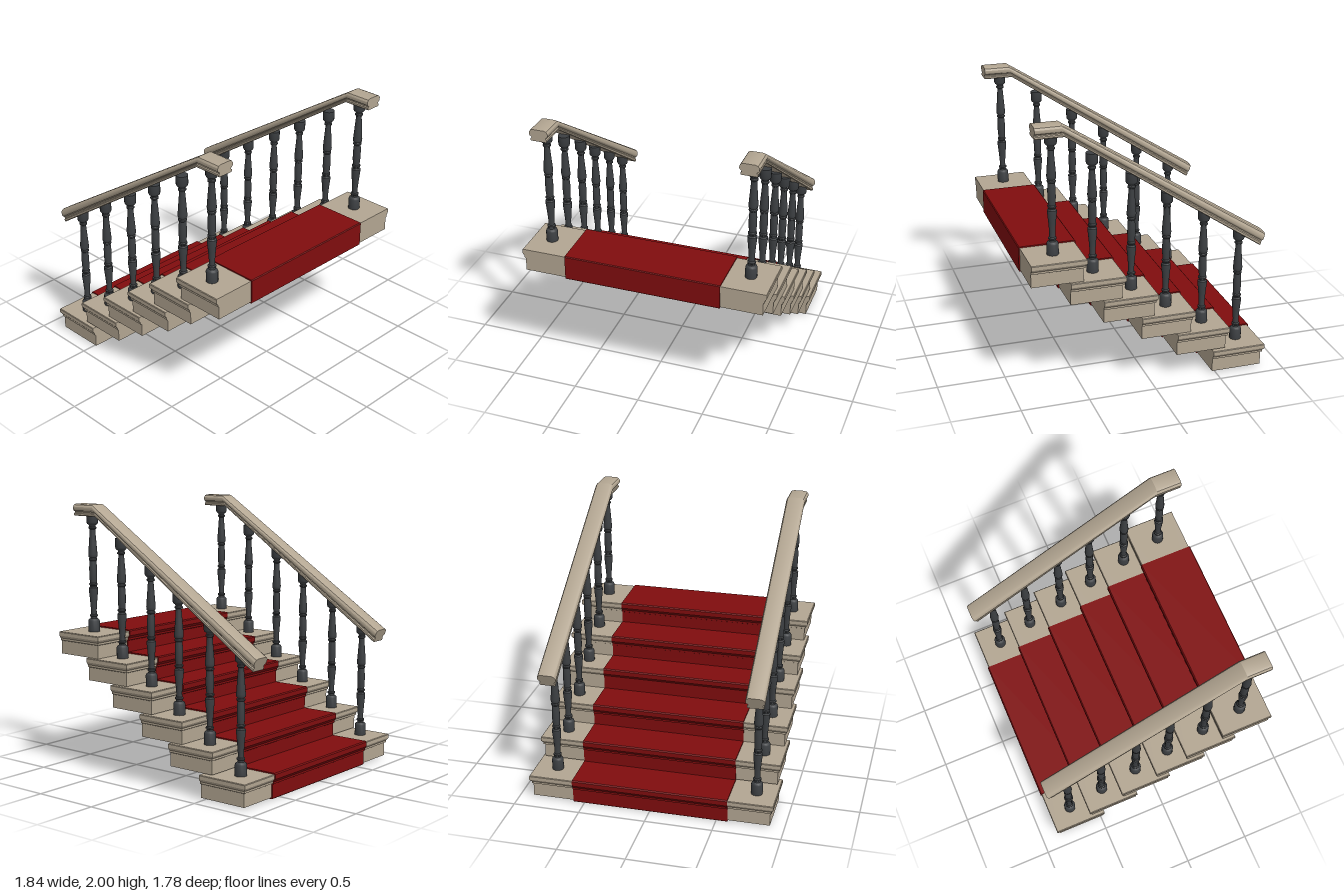
import * as THREE from 'three';
import { toCreasedNormals } from 'three/addons/utils/BufferGeometryUtils.js';

// Skin a list of equal-length rings; rings run counter-clockwise seen from the far end.
function loft(rings, crease) {
  const pos = [];
  const n = rings[0].length;
  const tri = (...pts) => pts.forEach((p) => pos.push(...p));
  const centre = (r) => [0, 1, 2].map((k) => r.reduce((s, p) => s + p[k], 0) / n);
  for (let i = 0; i < rings.length - 1; i++) {
    for (let j = 0; j < n; j++) {
      const k = (j + 1) % n;
      const a = rings[i][j], b = rings[i][k], c = rings[i + 1][k], d = rings[i + 1][j];
      tri(a, b, c);
      tri(a, c, d);
    }
  }
  const first = rings[0], last = rings[rings.length - 1];
  for (let j = 0; j < n; j++) {
    const k = (j + 1) % n;
    tri(centre(first), first[k], first[j]);
    tri(centre(last), last[j], last[k]);
  }
  const g = new THREE.BufferGeometry();
  g.setAttribute('position', new THREE.Float32BufferAttribute(pos, 3));
  g.computeVertexNormals();
  return crease ? toCreasedNormals(g, crease) : g;
}

export function createModel() {
  const model = new THREE.Group();
  model.name = 'staircase';

  const material = (name, color) => {
    const m = new THREE.MeshStandardMaterial({ color });
    m.name = name;
    return m;
  };
  const stone = material('stone', 0xb3a692);
  const iron = material('darkIron', 0x3c3f42);
  const red = material('redCarpet', 0x800d0e);

  const add = (name, geometry, mat, parent = model) => {
    const mesh = new THREE.Mesh(geometry, mat);
    mesh.name = name;
    parent.add(mesh);
    return mesh;
  };

  // Steps from lowest to highest: base height, back z, front z of the riser
  const steps = [
    [0.0, -0.465, -0.855],
    [0.18, -0.185, -0.572],
    [0.353, 0.085, -0.3],
    [0.527, 0.37, -0.018],
    [0.7, 0.61, 0.222],
    [0.87, 0.89, 0.505],
  ];

  // Moulding under the tread: outward offset and height
  const moulding = [
    [0, 0.011], [0, 0.11], [0.01, 0.115], [0.01, 0.13],
    [0.018, 0.14], [0.024, 0.15], [0.024, 0.176], [0.02, 0.181],
  ];

  const stepGeometry = (zb, zf) => loft(moulding.map(([o, y]) => {
    const w = 0.895 + o;
    return [[-w, y, zb - 0.009], [w, y, zb - 0.009], [w, y, zf - o], [-w, y, zf - o]];
  }));

  // Carpet wraps the whole step section, slightly outside the stone
  const carpetGeometry = (zb, zf) => {
    const d = 0.008, f = -zf;
    const shape = new THREE.Shape([
      [-zb, 0.006], [-zb + 0.006, 0], [f + d - 0.005, 0], [f + d, 0.005],
      [f + d, 0.107], [f + 0.01 + d, 0.112], [f + 0.01 + d, 0.127],
      [f + 0.024 + d, 0.147], [f + 0.024 + d, 0.182], [f + 0.024, 0.19],
      [-zb + 0.006, 0.19], [-zb, 0.184],
    ].map(([x, y]) => new THREE.Vector2(x, y)));
    const g = new THREE.ExtrudeGeometry(shape, { depth: 1.168, bevelEnabled: false });
    return g.rotateY(Math.PI / 2).translate(-0.584, 0, 0);
  };

  steps.forEach(([y, zb, zf], i) => {
    add(`step${i + 1}`, stepGeometry(zb, zf), stone).position.y = y;
    add(`carpet${i + 1}`, carpetGeometry(zb, zf), red).position.y = y;
  });

  // Turned baluster: radius and height
  const turned = [
    [0, 0], [0.043, 0], [0.043, 0.08], [0.038, 0.092], [0.025, 0.1],
    [0.023, 0.11], [0.03, 0.116], [0.03, 0.126], [0.022, 0.132], [0.021, 0.16],
    [0.027, 0.24], [0.034, 0.31], [0.034, 0.33], [0.025, 0.338], [0.025, 0.346],
    [0.031, 0.352], [0.031, 0.362], [0.025, 0.368], [0.029, 0.42], [0.029, 0.48],
    [0.025, 0.53], [0.031, 0.536], [0.031, 0.546], [0.025, 0.552], [0.033, 0.562],
    [0.034, 0.58], [0.028, 0.66], [0.021, 0.75], [0.021, 0.765], [0.029, 0.771],
    [0.029, 0.781], [0.023, 0.787], [0.025, 0.795], [0.038, 0.805], [0.043, 0.817],
    [0.043, 0.885], [0, 0.885],
  ].map(([r, y]) => new THREE.Vector2(r, y));
  const balusterGeometry = toCreasedNormals(new THREE.LatheGeometry(turned, 16), 0.7);
  const balusterZ = [-0.711, -0.435, -0.152, 0.111, 0.397, 0.685];

  // Handrail half section: half width and fraction of the height
  const half = [
    [0.056, 0], [0.06, 0.06], [0.06, 0.2], [0.053, 0.27], [0.053, 0.36],
    [0.066, 0.46], [0.07, 0.58], [0.069, 0.76], [0.06, 0.92], [0.042, 1],
  ];
  const section = [...half, ...half.map(([x, t]) => [-x, t]).reverse()];

  // Handrail stations, foot to top: bottom z, y and top z, y
  const stations = [
    [-0.855, 0.937, -0.892, 1.03],
    [0.6, 1.913, 0.625, 2.0],
    [0.812, 1.913, 0.812, 2.0],
  ];
  const railGeometry = loft(stations.map(([z0, y0, z1, y1]) =>
    section.map(([x, t]) => [x, y0 + (y1 - y0) * t, z0 + (z1 - z0) * t])), 0.5);

  for (const [name, x] of [['leftBalustrade', 0.748], ['rightBalustrade', -0.768]]) {
    const side = new THREE.Group();
    side.name = name;
    side.position.x = x;
    model.add(side);
    add('handrail', railGeometry, stone, side);
    balusterZ.forEach((z, i) => {
      add(`baluster${i + 1}`, balusterGeometry, iron, side).position.set(0, steps[i][0] + 0.18, z);
    });
  }

  return model;
}
